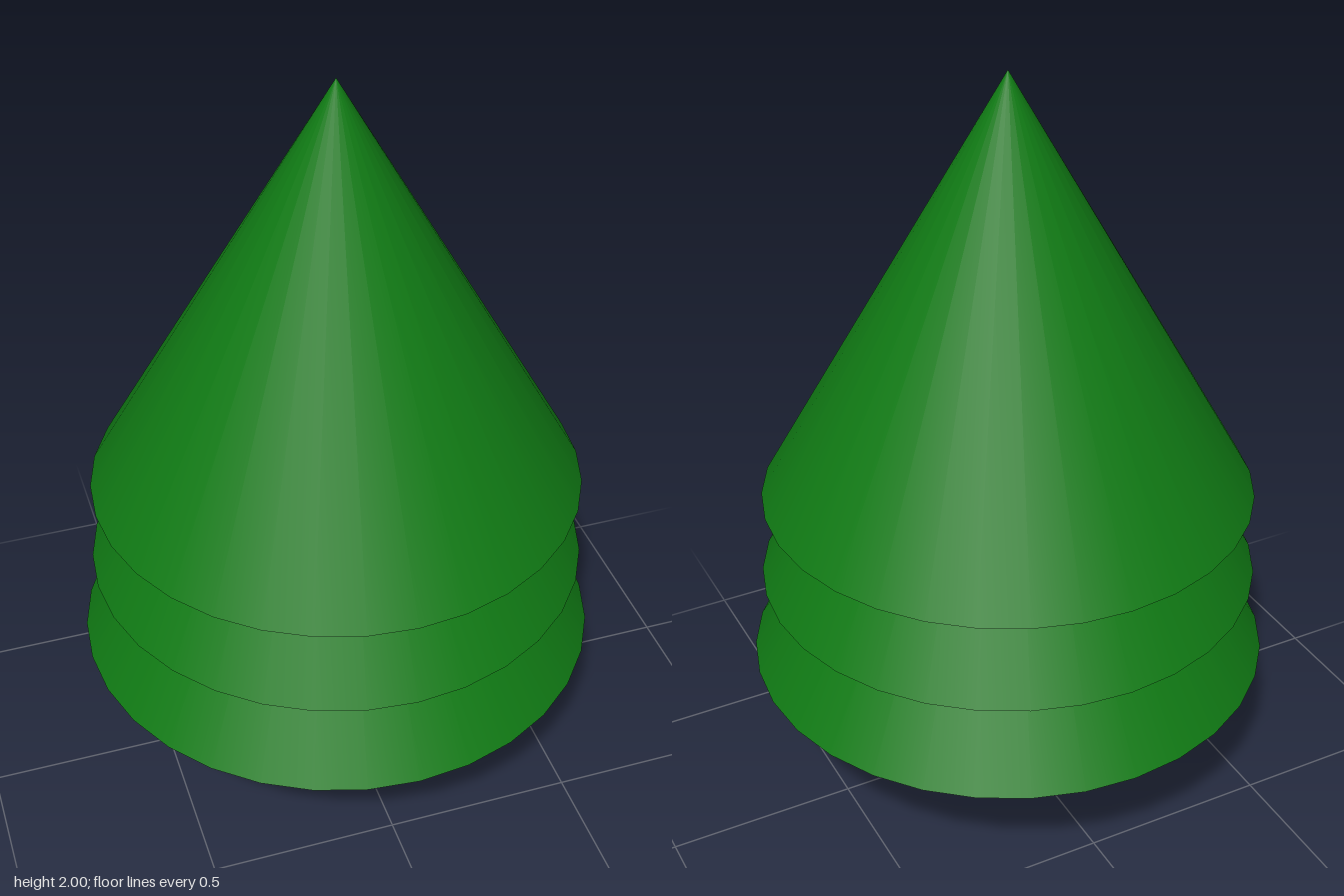
import * as THREE from 'three';

const SIDES = 32;

export function createModel() {
  const tree = new THREE.Group();
  tree.name = 'pineTree';

  const bark = new THREE.MeshStandardMaterial({ color: 0x7a5228 });
  const needles = new THREE.MeshStandardMaterial({ color: 0x107a14 });

  // Trunk, reaching up to the lowest tier
  const trunkHeight = 0.39;
  const trunk = new THREE.Mesh(new THREE.CylinderGeometry(0.187, 0.187, trunkHeight, SIDES), bark);
  trunk.name = 'trunk';
  trunk.position.y = trunkHeight / 2;
  tree.add(trunk);

  // Overlapping closed cones of foliage, bottom to top
  const tiers = [
    { name: 'lowerFoliage', radius: 0.695, base: 0.38, tip: 1.5 },
    { name: 'middleFoliage', radius: 0.66, base: 0.626, tip: 1.77 },
    { name: 'upperFoliage', radius: 0.648, base: 0.863, tip: 2 },
  ];
  for (const { name, radius, base, tip } of tiers) {
    const cone = new THREE.Mesh(new THREE.ConeGeometry(radius, tip - base, SIDES), needles);
    cone.name = name;
    cone.position.y = (base + tip) / 2;
    tree.add(cone);
  }
  return tree;
}
